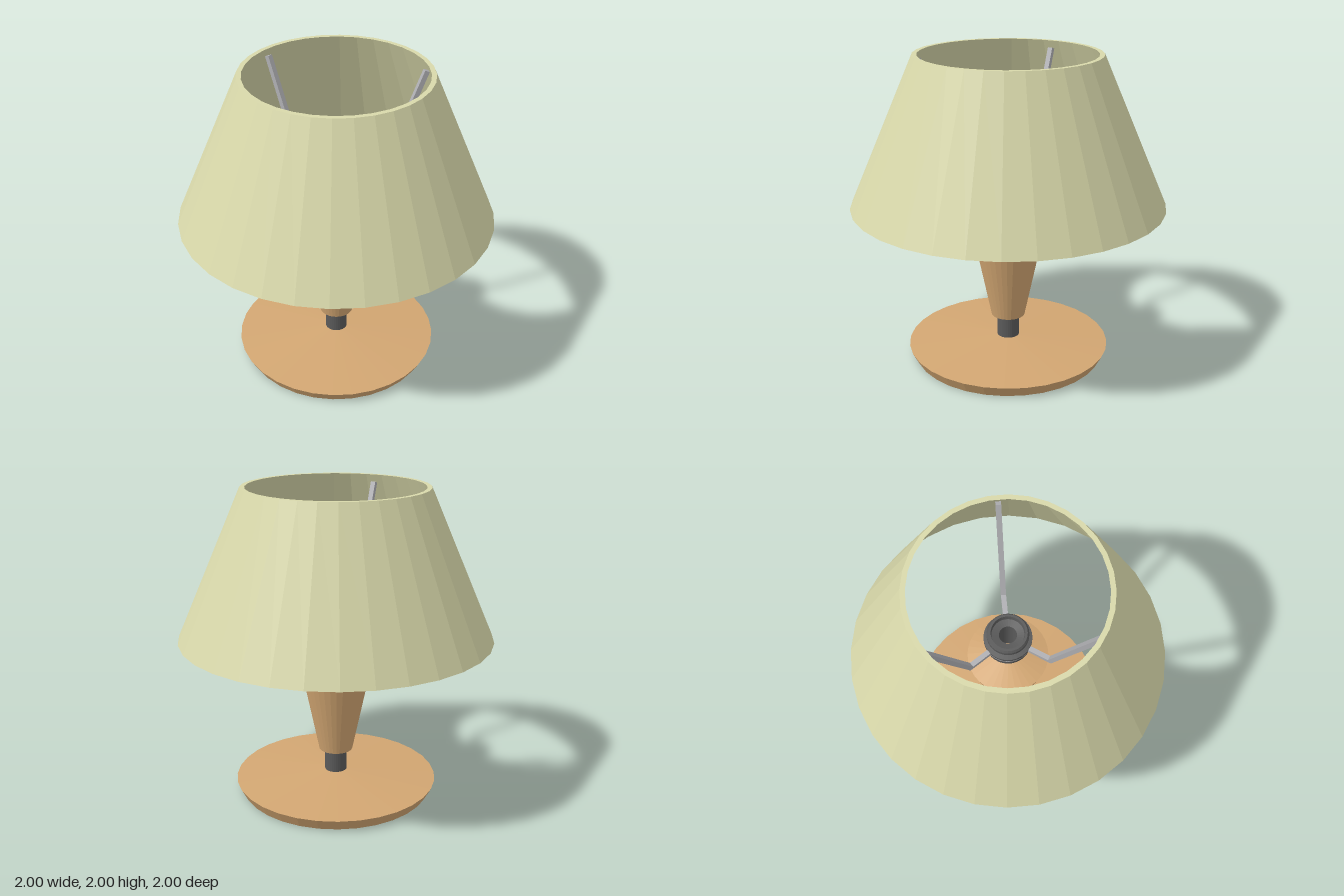
import * as THREE from 'three';

const SIDES = 32;

const paint = (color) => new THREE.MeshStandardMaterial({ color, flatShading: true });

// Faceted turned part from a profile of [radius, height] points, listed upwards on the outside
function turned(name, material, profile) {
  const points = profile.map(([r, y]) => new THREE.Vector2(r, y));
  const mesh = new THREE.Mesh(new THREE.LatheGeometry(points, SIDES), material);
  mesh.name = name;
  return mesh;
}

// Square bar between two points in the xy plane
function bar(name, material, [x0, y0], [x1, y1], thickness) {
  const length = Math.hypot(x1 - x0, y1 - y0);
  const mesh = new THREE.Mesh(new THREE.BoxGeometry(length, thickness, thickness), material);
  mesh.position.set((x0 + x1) / 2, (y0 + y1) / 2, 0);
  mesh.rotation.z = Math.atan2(y1 - y0, x1 - x0);
  mesh.name = name;
  return mesh;
}

export function createModel() {
  const lamp = new THREE.Group();
  lamp.name = 'tableLamp';
  const wood = paint(0xd2a672);
  const fabric = paint(0xd8d8aa);
  const darkMetal = paint(0x5a5a5a);
  const steel = paint(0xb0b0b4);

  // Wooden foot, neck and tapered body
  lamp.add(turned('base', wood, [[0, 0], [0.62, 0], [0.66, 0.075], [0.07, 0.115], [0, 0.115]]));
  lamp.add(turned('stem', darkMetal, [[0.072, 0.1], [0.072, 0.28]]));
  lamp.add(turned('body', wood, [[0, 0.265], [0.11, 0.265], [0.26, 0.99], [0.06, 1.045], [0, 1.045]]));

  // Hollow bulb socket with a rounded cup and ribbed collar
  lamp.add(turned('socket', darkMetal, [
    [0.055, 1.04], [0.062, 1.04], [0.062, 1.12], [0.085, 1.13], [0.125, 1.17], [0.142, 1.21],
    [0.142, 1.24], [0.12, 1.25], [0.12, 1.27], [0.15, 1.275], [0.15, 1.295], [0.115, 1.3],
    [0.115, 1.32], [0.13, 1.33], [0.13, 1.355], [0.12, 1.37], [0.105, 1.37], [0.1, 1.34],
    [0.055, 1.33], [0.055, 1.04],
  ]));

  // Ring and three bent arms that carry the shade
  lamp.add(turned('holderRing', steel, [
    [0.12, 1.255], [0.147, 1.255], [0.147, 1.275], [0.12, 1.275], [0.12, 1.255],
  ]));
  for (const degrees of [-84.4, 39, 163]) {
    const arm = new THREE.Group();
    arm.name = 'shadeArm';
    arm.add(bar('armFoot', steel, [0.13, 1.275], [0.3, 1.275], 0.032));
    arm.add(bar('armRise', steel, [0.29, 1.265], [0.56, 1.95], 0.032));
    arm.rotation.y = -THREE.MathUtils.degToRad(degrees);
    lamp.add(arm);
  }

  // Thick open shade
  lamp.add(turned('shade', fabric, [
    [0.97, 1.05], [1, 1.05], [0.585, 2], [0.555, 2], [0.97, 1.05],
  ]));
  return lamp;
}
